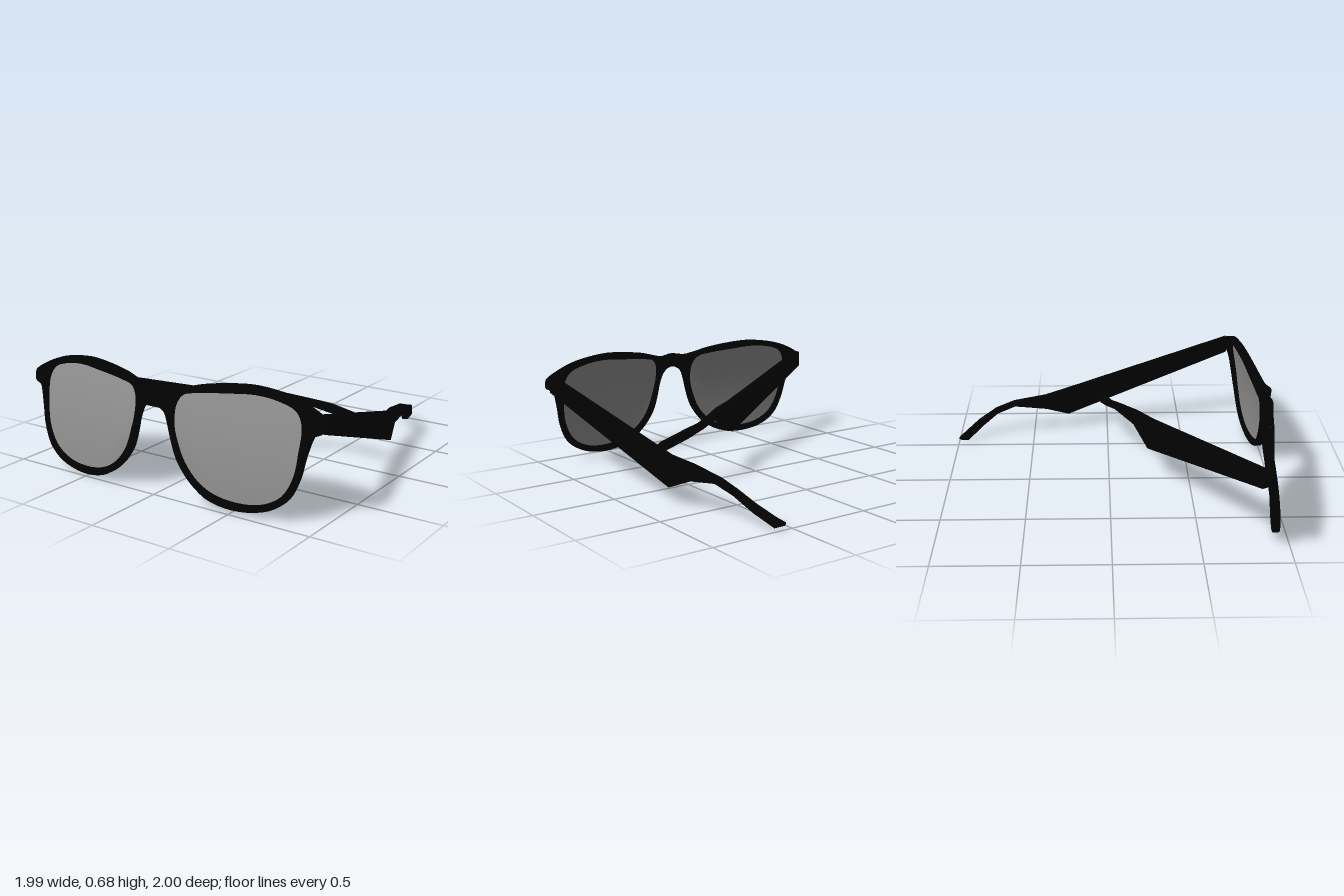
import * as THREE from 'three';
import { toCreasedNormals } from 'three/addons/utils/BufferGeometryUtils.js';

const black = new THREE.MeshStandardMaterial({ color: 0x020202 });
black.name = 'black plastic';
const grey = new THREE.MeshStandardMaterial({ color: 0x929292, side: THREE.DoubleSide });
grey.name = 'grey lens';

// Front surface of the eyewear: swept back to the sides, leaning back to the top, bridge set forward
const bridge = (x) => Math.exp(-((x / 0.1) ** 2));
const frontZ = (x, y) => Math.min(0.998, 1.04 - 0.12 * Math.abs(x) - 0.2 * y * y + 0.018 * bridge(x));
// The whole front is rolled slightly
const roll = (x) => 0.014 * x;

// Half outline of the frame, from the top of the bridge round to its underside
const OUTLINE = [
  [0, 0.615], [0.09, 0.605], [0.16, 0.62], [0.27, 0.648], [0.49, 0.675], [0.6, 0.675], [0.78, 0.648],
  [0.89, 0.608], [0.98, 0.558], [0.99, 0.545], [0.99, 0.495], [0.98, 0.483], [0.937, 0.464], [0.925, 0.44],
  [0.9, 0.345], [0.878, 0.235], [0.825, 0.12], [0.725, 0.046], [0.55, 0.01], [0.38, 0.035], [0.25, 0.115],
  [0.16, 0.23], [0.122, 0.34], [0.1, 0.43], [0.07, 0.495], [0, 0.525],
];
// Opening for one lens
const OPENING = [
  [0.138, 0.54], [0.172, 0.587], [0.25, 0.606], [0.435, 0.625], [0.595, 0.636], [0.73, 0.62], [0.835, 0.58],
  [0.872, 0.51], [0.868, 0.38], [0.85, 0.25], [0.79, 0.137], [0.69, 0.074], [0.57, 0.052], [0.41, 0.07],
  [0.29, 0.13], [0.205, 0.225], [0.157, 0.338], [0.132, 0.445],
];

const mirror = (pts) => pts.map(([x, y]) => [-x, y]).reverse();

function smoothLoop(pts, count) {
  const curve = new THREE.CatmullRomCurve3(pts.map(([x, y]) => new THREE.Vector3(x, y, 0)), true);
  return curve.getPoints(count).slice(0, -1).map((p) => new THREE.Vector2(p.x, p.y));
}

function makeFrame() {
  const shape = new THREE.Shape(smoothLoop([...OUTLINE, ...mirror(OUTLINE).slice(1, -1)], 200));
  // Openings run against the outline so that their walls face inwards
  for (const pts of [OPENING, mirror(OPENING)]) {
    shape.holes.push(new THREE.Path(smoothLoop(pts, 72).reverse()));
  }
  const geo = new THREE.ExtrudeGeometry(shape, {
    depth: 0.035, bevelThickness: 0.01, bevelSize: 0.006, bevelOffset: -0.006, bevelSegments: 2,
  });
  const pos = geo.attributes.position;
  for (let i = 0; i < pos.count; i++) {
    const x = pos.getX(i), y = pos.getY(i);
    // Thinner towards the bottom and at the bridge
    const thin = 0.75 + 0.36 * y - 0.15 * bridge(x);
    pos.setXYZ(i, x, y + roll(x), frontZ(x, y) + (pos.getZ(i) - 0.045) * thin);
  }
  return new THREE.Mesh(toCreasedNormals(geo, 0.7), black);
}

// Lens as concentric loops that follow the curved front, its edge seated inside the rim
function makeLens(side) {
  const loop = smoothLoop(side > 0 ? OPENING : mirror(OPENING), 72);
  const n = loop.length, rings = 6, cx = side * 0.5, cy = 0.35;
  const verts = [], index = [];
  for (let r = 0; r <= rings; r++) {
    const k = (r / rings) * 1.04;
    for (const p of loop) {
      const x = cx + (p.x - cx) * k, y = cy + (p.y - cy) * k;
      verts.push(x, y + roll(x), frontZ(x, y) - 0.02);
    }
  }
  for (let r = 0; r < rings; r++) {
    for (let i = 0; i < n; i++) {
      const j = (i + 1) % n, a = r * n + i, b = r * n + j, c = a + n, d = b + n;
      // Loops run clockwise seen from the front
      if (r > 0) index.push(a, b, d);
      index.push(a, d, c);
    }
  }
  const geo = new THREE.BufferGeometry();
  geo.setAttribute('position', new THREE.Float32BufferAttribute(verts, 3));
  geo.setIndex(index);
  geo.computeVertexNormals();
  return new THREE.Mesh(geo, grey);
}

// Temple arm: rectangular sections [x, z, top, bottom, thickness] from hinge to tip
function makeTemple(rows) {
  const verts = [], index = [];
  rows.forEach(([x, z, top, bottom, t], i) => {
    const a = rows[Math.max(0, i - 1)], b = rows[Math.min(rows.length - 1, i + 1)];
    const dir = new THREE.Vector2(b[0] - a[0], b[1] - a[1]).normalize().multiplyScalar(t / 2);
    const nx = -dir.y, nz = dir.x;
    verts.push(x + nx, top, z + nz, x - nx, top, z - nz, x - nx, bottom, z - nz, x + nx, bottom, z + nz);
  });
  for (let r = 0; r < rows.length - 1; r++) {
    for (let i = 0; i < 4; i++) {
      const a = r * 4 + i, b = r * 4 + ((i + 1) % 4);
      index.push(a, b + 4, b, a, a + 4, b + 4);
    }
  }
  const e = (rows.length - 1) * 4;
  index.push(0, 1, 2, 0, 2, 3, e, e + 2, e + 1, e, e + 3, e + 2);
  const geo = new THREE.BufferGeometry();
  geo.setAttribute('position', new THREE.Float32BufferAttribute(verts, 3));
  geo.setIndex(index);
  const flat = geo.toNonIndexed();
  flat.computeVertexNormals();
  return new THREE.Mesh(flat, black);
}

export function createModel() {
  const group = new THREE.Group();
  const add = (name, mesh) => {
    mesh.name = name;
    group.add(mesh);
  };
  add('frontFrame', makeFrame());
  add('leftLens', makeLens(1));
  add('rightLens', makeLens(-1));

  // Open arm
  add('leftTemple', makeTemple([
    [0.967, 0.82, 0.59, 0.485, 0.033],
    [0.787, -0.27, 0.286, 0.103, 0.035],
    [0.735, -0.42, 0.256, 0.165, 0.04],
    [0.712, -0.63, 0.222, 0.198, 0.055],
    [0.685, -0.75, 0.182, 0.158, 0.05],
    [0.637, -0.86, 0.12, 0.08, 0.045],
    [0.572, -0.95, 0.06, 0.008, 0.035],
    [0.537, -0.99, 0.035, 0.025, 0.028],
  ]));
  // Half-folded arm
  add('rightTemple', makeTemple([
    [-0.965, 0.815, 0.555, 0.45, 0.04],
    [0.015, 0.255, 0.405, 0.21, 0.04],
    [0.16, 0.17, 0.395, 0.31, 0.04],
    [0.285, 0.06, 0.388, 0.36, 0.05],
    [0.4, 0.005, 0.364, 0.33, 0.04],
    [0.53, -0.03, 0.345, 0.295, 0.035],
    [0.7, -0.05, 0.305, 0.25, 0.028],
    [0.737, -0.055, 0.29, 0.27, 0.025],
  ]));
  return group;
}
